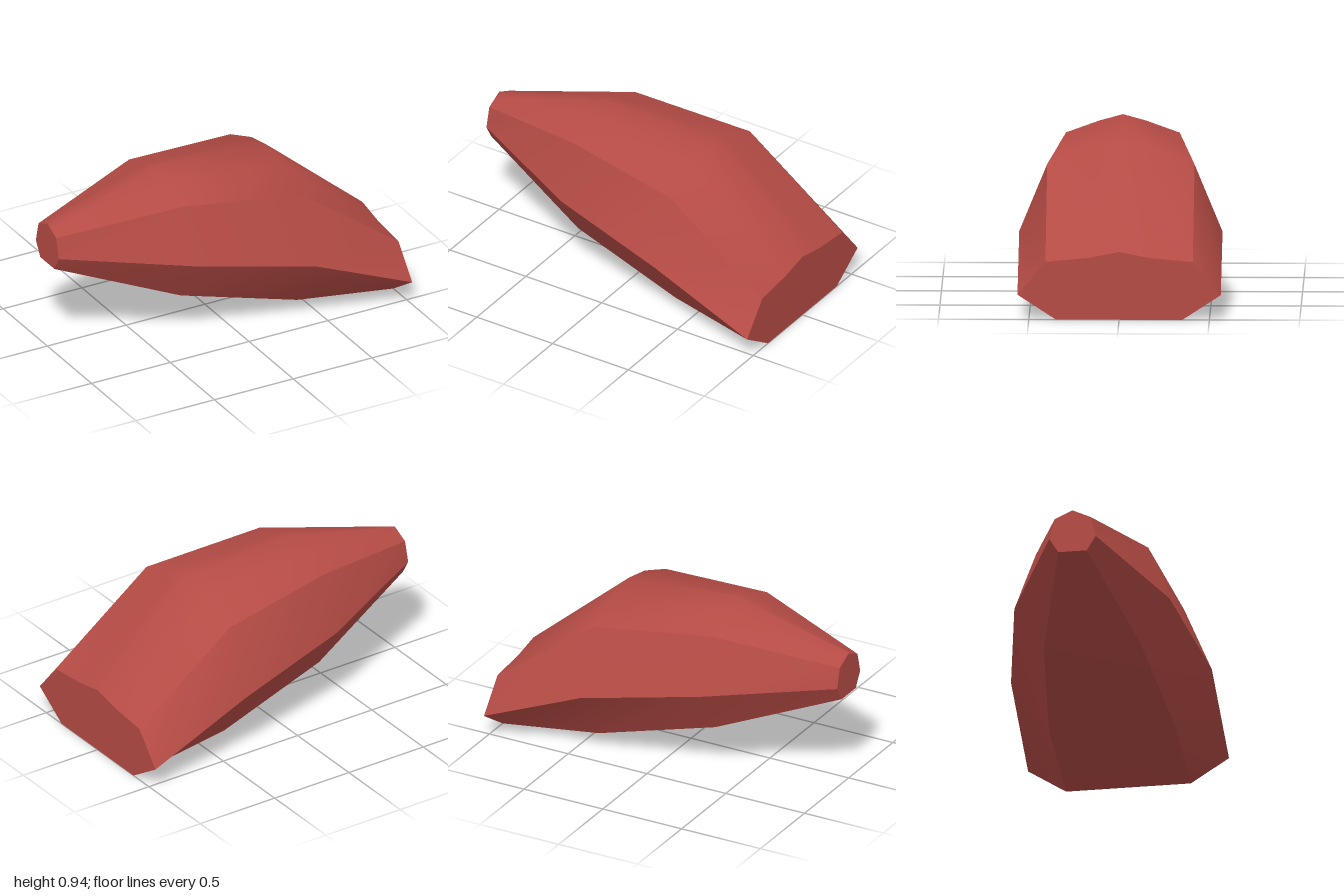
import * as THREE from 'three';

// Half cross-sections along x: [z, y] for bottom edge, widest edge, shoulder, crown, ridge
const stations = [
  { x: -1.0, half: [[0.08, 0.525], [0.13, 0.61], [0.1, 0.728], [0.04, 0.756], [0, 0.775]] },
  { x: -0.305, half: [[0.27, 0.265], [0.435, 0.525], [0.315, 0.845], [0.13, 0.912], [0, 0.948]] },
  { x: 0.39, half: [[0.35, 0.092], [0.563, 0.402], [0.408, 0.778], [0.17, 0.872], [0, 0.905]] },
  { x: 1.0, half: [[0.35, 0.003], [0.563, 0.142], [0.408, 0.327], [0.17, 0.349], [0, 0.383]] },
];

// Full ring, counter-clockwise seen from +x
const ring = ({ x, half }) => [
  ...half.map(([z, y]) => new THREE.Vector3(x, y, -z)),
  ...half.slice(0, -1).reverse().map(([z, y]) => new THREE.Vector3(x, y, z)),
];

function surface(points, index) {
  const g = new THREE.BufferGeometry().setFromPoints(points);
  g.setIndex(index);
  g.computeVertexNormals();
  return g;
}

// Lengthwise band through the given ring corners, smooth within, hard at its borders
function band(rings, corners) {
  const n = corners.length, index = [];
  const points = rings.flatMap((r) => corners.map((c) => r[c]));
  for (let i = 0; i < rings.length - 1; i++) {
    for (let j = 0; j < n - 1; j++) {
      const a = i * n + j, b = a + 1, c = a + n, d = c + 1;
      index.push(a, b, c, b, d, c);
    }
  }
  return surface(points, index);
}

// Flat end face
function cap(points, flip) {
  const index = [];
  for (let i = 1; i < points.length - 1; i++) index.push(0, flip ? i + 1 : i, flip ? i : i + 1);
  return surface(points, index);
}

export function createModel() {
  const group = new THREE.Group();
  group.name = 'facetedShell';
  const red = new THREE.MeshStandardMaterial({ color: 0xb54b45 });
  red.name = 'brickRed';
  const rings = stations.map(ring);
  const add = (name, geometry) => {
    const mesh = new THREE.Mesh(geometry, red);
    mesh.name = name;
    group.add(mesh);
  };

  // Long panels around the hull
  add('backLowerPanel', band(rings, [0, 1]));
  add('backUpperPanel', band(rings, [1, 2]));
  add('crown', band(rings, [2, 3, 4, 5, 6]));
  add('frontUpperPanel', band(rings, [6, 7]));
  add('frontLowerPanel', band(rings, [7, 8]));
  add('underside', band(rings, [8, 0]));

  // End faces
  add('narrowEnd', cap(rings[0], true));
  add('wideEnd', cap(rings[3], false));
  return group;
}
